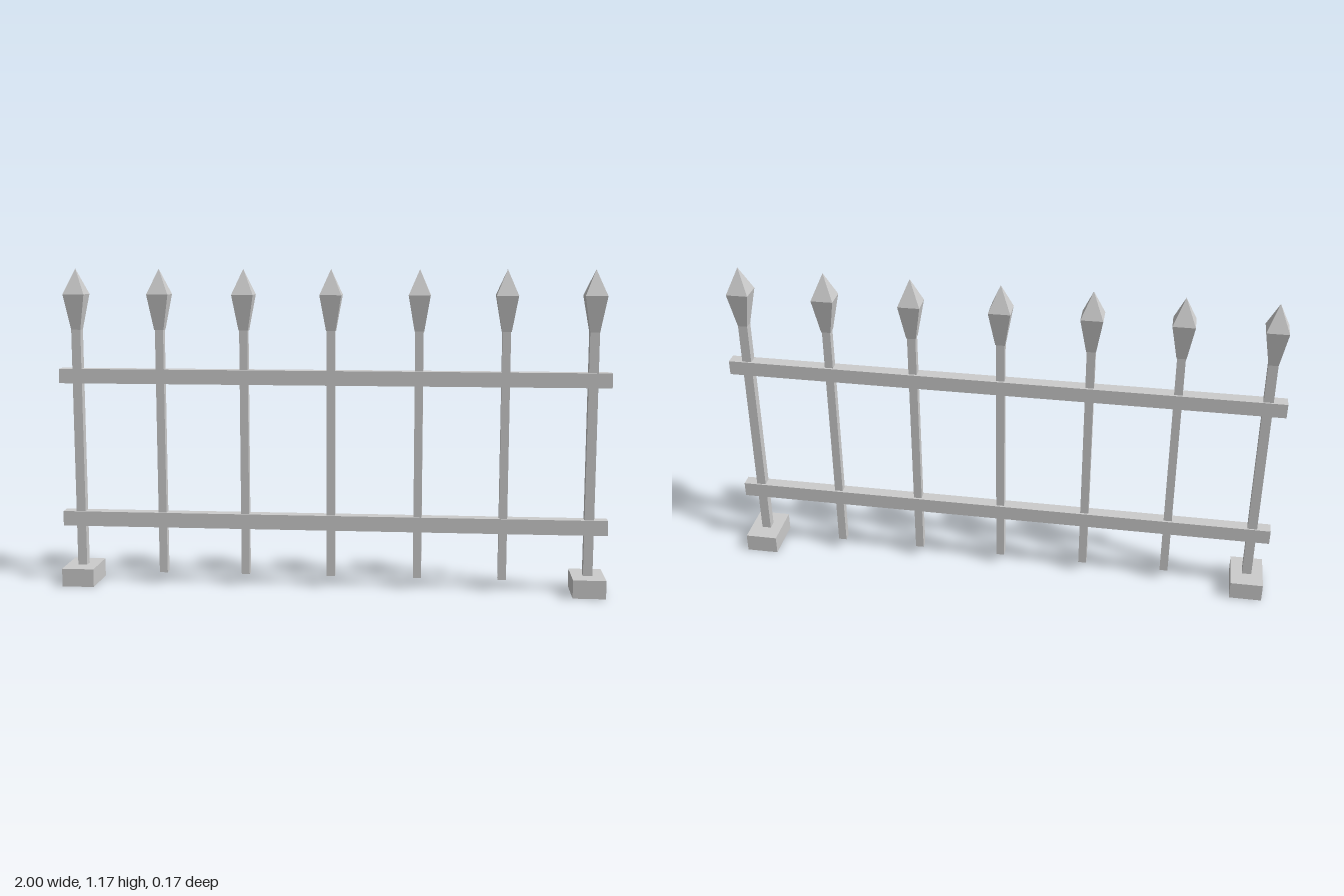
import * as THREE from 'three';

const material = new THREE.MeshStandardMaterial({ color: 0xcccccc, flatShading: true });

export function createModel() {
  const fence = new THREE.Group();
  fence.name = 'fence';

  // Box given by its width, depth and vertical extent
  const addBox = (name, width, depth, bottom, top, x = 0) => {
    const mesh = new THREE.Mesh(new THREE.BoxGeometry(width, top - bottom, depth), material);
    mesh.name = name;
    mesh.position.set(x, (bottom + top) / 2, 0);
    fence.add(mesh);
  };

  // Four-sided spearhead, corners on the diagonals
  const profile = [[0, 0.947], [0.017, 0.947], [0.039, 1.076], [0, 1.168]]
    .map(([half, y]) => new THREE.Vector2(half * Math.SQRT2, y));
  const spearGeometry = new THREE.LatheGeometry(profile, 4, Math.PI / 4);

  // Upright bars with spearheads; the end posts stand on feet
  for (const x of [-0.934, -0.626, -0.317, 0, 0.317, 0.626, 0.934]) {
    const isEnd = Math.abs(x) > 0.9;
    const thickness = isEnd ? 0.034 : 0.03;
    addBox(isEnd ? 'endPost' : 'bar', thickness, thickness, isEnd ? 0.06 : 0.044, 0.955, x);
    if (isEnd) addBox('foot', 0.118, 0.167, 0, 0.067, x);

    const spear = new THREE.Mesh(spearGeometry, material);
    spear.name = 'spearhead';
    spear.position.x = x;
    fence.add(spear);
  }

  // Horizontal rails
  addBox('lowerRail', 2, 0.046, 0.217, 0.272);
  addBox('upperRail', 2, 0.046, 0.751, 0.804);

  return fence;
}
